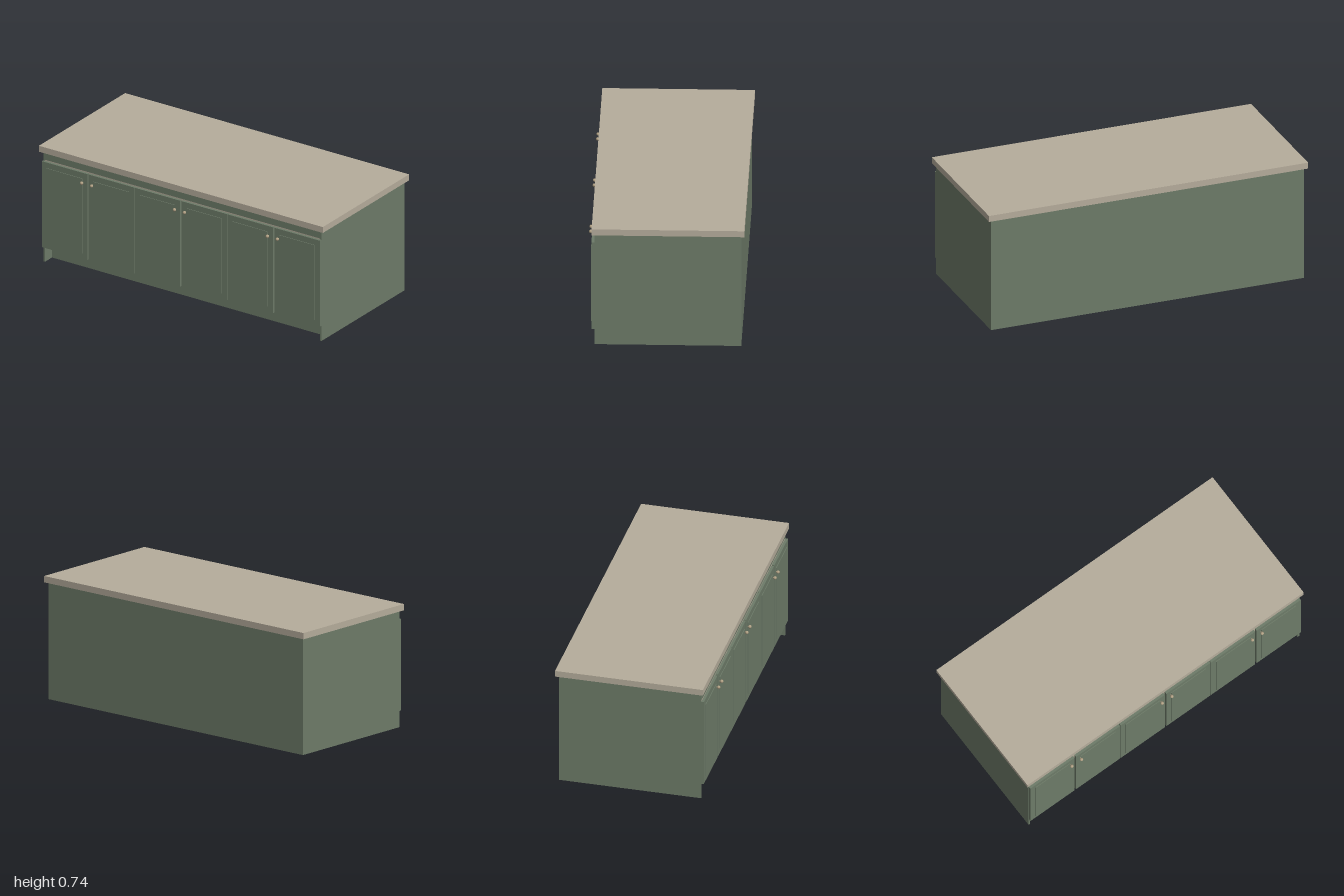
import * as THREE from 'three';

const green = new THREE.MeshStandardMaterial({ color: 0x6d7b68 });
green.name = 'sage green paint';
const stone = new THREE.MeshStandardMaterial({ color: 0xb5ac9b });
stone.name = 'warm stone';
const brass = new THREE.MeshStandardMaterial({ color: 0xb0a084 });
brass.name = 'pale brass';

// Box given by its limits on each axis
function block(name, material, [x0, x1], [y0, y1], [z0, z1]) {
  const mesh = new THREE.Mesh(new THREE.BoxGeometry(x1 - x0, y1 - y0, z1 - z0), material);
  mesh.position.set((x0 + x1) / 2, (y0 + y1) / 2, (z0 + z1) / 2);
  mesh.name = name;
  return mesh;
}

// Round knob on a short stem
function makeKnob(x) {
  const knob = new THREE.Group();
  knob.name = 'knob';
  const ball = new THREE.Mesh(new THREE.SphereGeometry(0.01, 20, 14), brass);
  ball.name = 'knobBall';
  const stem = new THREE.Mesh(new THREE.CylinderGeometry(0.004, 0.004, 0.012, 12), brass);
  stem.name = 'knobStem';
  stem.rotation.x = Math.PI / 2;
  stem.position.z = -0.006;
  knob.add(ball, stem);
  knob.position.set(x, 0.587, 0.4475);
  return knob;
}

// Door slab with a raised centre panel
function makeDoor(x0, x1, knobX) {
  const door = new THREE.Group();
  door.name = 'door';
  door.add(
    block('doorSlab', green, [x0, x1], [0.097, 0.647], [0.4175, 0.433]),
    block('raisedPanel', green, [x0 + 0.035, x1 - 0.035], [0.132, 0.611], [0.432, 0.437]),
    makeKnob(knobX)
  );
  return door;
}

export function createModel() {
  const island = new THREE.Group();
  island.name = 'kitchenIsland';

  // Worktop, carcass and recessed plinth
  island.add(
    block('worktop', stone, [-1, 1], [0.702, 0.74], [-0.455, 0.433]),
    block('carcass', green, [-0.968, 0.968], [0.095, 0.702], [-0.437, 0.416]),
    block('topRail', green, [-0.968, 0.968], [0.653, 0.702], [0.41, 0.417]),
    block('plinth', green, [-0.968, 0.968], [0, 0.095], [-0.437, 0.345])
  );

  // End panels reach the floor
  for (const s of [-1, 1]) {
    const ends = [s * 0.968, s * 0.98].sort((a, b) => a - b);
    island.add(block('endPanel', green, ends, [0, 0.702], [-0.437, 0.417]));
  }

  // Pale lining that shows in the gaps around the doors
  island.add(block('doorGapLining', stone, [-0.968, 0.968], [0.095, 0.653], [0.415, 0.417]));

  // Three pairs of doors, knobs beside the meeting edges
  for (const c of [-0.654, 0, 0.654]) {
    island.add(makeDoor(c - 0.325, c - 0.005, c - 0.035));
    island.add(makeDoor(c + 0.005, c + 0.325, c + 0.035));
  }
  return island;
}
